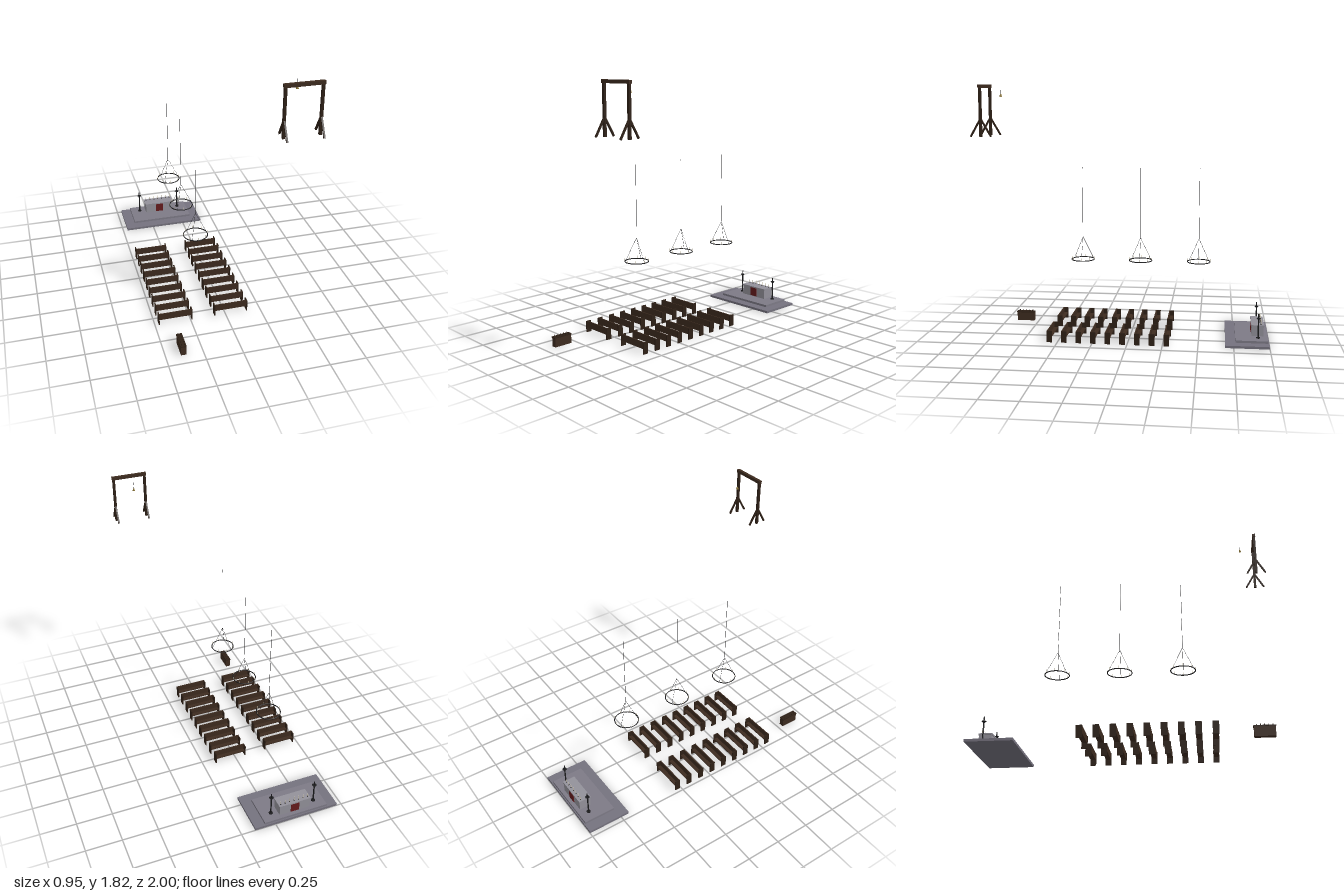
import * as THREE from 'three';

const mat = (color) => new THREE.MeshStandardMaterial({ color });
const WOOD = mat(0x3d2b1f), DARK = mat(0x2e2016), STONE = mat(0x75727e), STEP = mat(0x7d7a86);
const ALTAR = mat(0x93919a), RED = mat(0x651a1c), IRON = mat(0x1c1c1e), WAX = mat(0xd8cdb0), BRASS = mat(0x8a7434);

const AISLE = -0.158;

function add(parent, name, geometry, material, x = 0, y = 0, z = 0) {
  const m = new THREE.Mesh(geometry, material);
  m.name = name;
  m.position.set(x, y, z);
  parent.add(m);
  return m;
}

// box standing on height y
function box(parent, name, material, w, h, d, x, y, z) {
  return add(parent, name, new THREE.BoxGeometry(w, h, d), material, x, y + h / 2, z);
}

// upright cylinder standing on height y
function post(parent, name, material, r, h, x, y, z, sides = 8, rTop = r) {
  return add(parent, name, new THREE.CylinderGeometry(rTop, r, h, sides), material, x, y + h / 2, z);
}

// bar between two points, round or square
function bar(parent, name, material, a, b, r, square = false) {
  const dir = b.clone().sub(a), len = dir.length();
  const geo = square ? new THREE.BoxGeometry(r * 2, len, r * 2) : new THREE.CylinderGeometry(r, r, len, 6);
  const m = add(parent, name, geo, material);
  m.position.copy(a).add(b).multiplyScalar(0.5);
  m.quaternion.setFromUnitVectors(new THREE.Vector3(0, 1, 0), dir.normalize());
  return m;
}

function group(parent, name, x = 0, y = 0, z = 0) {
  const g = new THREE.Group();
  g.name = name;
  g.position.set(x, y, z);
  parent.add(g);
  return g;
}

function buildSanctuary(root) {
  const g = group(root, 'sanctuary', AISLE);
  box(g, 'lowerStep', STONE, 0.616, 0.017, 0.31, 0, 0, -0.845);
  box(g, 'upperStep', STEP, 0.466, 0.016, 0.23, 0, 0.017, -0.877);
  box(g, 'altarBody', ALTAR, 0.226, 0.07, 0.085, 0, 0.033, -0.922);
  box(g, 'altarTop', ALTAR, 0.234, 0.011, 0.092, 0, 0.103, -0.922);
  // red cloth showing on front and back
  box(g, 'altarCloth', RED, 0.062, 0.066, 0.094, 0, 0.038, -0.922);
  // row of altar candles, tallest in the middle
  for (let i = -3; i <= 3; i++) {
    const h = 0.032 - Math.abs(i) * 0.003;
    post(g, 'altarCandleBase', IRON, 0.004, 0.004, i * 0.0335, 0.114, -0.947);
    post(g, 'altarCandle', WAX, 0.002, h, i * 0.0335, 0.116, -0.947);
  }
  // standing candle holders at both ends
  for (const s of [-1, 1]) {
    const c = group(g, 'candleStand', s * 0.161, 0.033, -0.924);
    post(c, 'standFoot', IRON, 0.014, 0.006, 0, 0, 0, 12);
    post(c, 'standPole', IRON, 0.005, 0.14, 0, 0, 0);
    post(c, 'standDish', IRON, 0.008, 0.008, 0, 0.138, 0, 12, 0.016);
    post(c, 'standCandle', IRON, 0.004, 0.033, 0, 0.144, 0);
  }
}

function buildPew(root, x, z) {
  const g = group(root, 'pew', x, 0, z);
  for (const s of [-1, 1]) box(g, 'pewEnd', DARK, 0.007, 0.083, 0.04, s * 0.1155, 0, 0);
  box(g, 'pewSeat', WOOD, 0.228, 0.007, 0.034, 0, 0.037, 0);
  box(g, 'pewBack', WOOD, 0.228, 0.045, 0.007, 0, 0.04, 0.0135);
}

function buildChandelier(root, z) {
  const R = 0.083;
  const g = group(root, 'chandelier', AISLE, 0.545, z);
  const ring = add(g, 'ring', new THREE.TorusGeometry(R, 0.0035, 6, 40), IRON);
  ring.rotation.x = Math.PI / 2;
  const apex = new THREE.Vector3(0, 0.168, 0);
  for (let i = 0; i < 3; i++) {
    const a = i * Math.PI * 2 / 3;
    bar(g, 'ringChain', IRON, new THREE.Vector3(Math.cos(a) * R, 0, Math.sin(a) * R), apex, 0.001);
  }
  bar(g, 'ceilingChain', IRON, apex, new THREE.Vector3(0, 0.68, 0), 0.0012);
  for (let i = 0; i < 8; i++) {
    const a = i * Math.PI / 4;
    post(g, 'ringCandle', WAX, 0.0018, 0.018, Math.cos(a) * R, 0.002, Math.sin(a) * R, 6);
  }
}

function buildVotiveChest(root) {
  const g = group(root, 'votiveChest', -0.382, 0, 0.853);
  box(g, 'chestBody', WOOD, 0.036, 0.064, 0.132, 0, 0, 0);
  box(g, 'chestTop', DARK, 0.04, 0.007, 0.138, 0, 0.063, 0);
  for (const x of [-0.01, 0.01])
    for (let i = -2; i <= 2; i++) post(g, 'votiveCandle', DARK, 0.0025, 0.01, x, 0.07, i * 0.025, 6);
}

function buildBellFrame(root) {
  const g = group(root, 'bellFrame', 0.345, 1.475, 0.923);
  box(g, 'beam', WOOD, 0.254, 0.022, 0.022, 0, 0.318, 0);
  for (const s of [-1, 1]) {
    const x = s * 0.115;
    box(g, 'framePost', DARK, 0.017, 0.325, 0.017, x, 0, 0);
    for (const k of [-1, 1])
      bar(g, 'frameBrace', DARK, new THREE.Vector3(x, 0.003, k * 0.068), new THREE.Vector3(x, 0.12, 0), 0.0055, true);
  }
  // small bell on its cord
  const b = group(root, 'bell', 0.344, 1.735, 0.816);
  const profile = [[0.009, 0], [0.0075, 0.004], [0.006, 0.012], [0.004, 0.017], [0, 0.018]]
    .map(([r, y]) => new THREE.Vector2(r, y));
  const brass = BRASS.clone();
  brass.side = THREE.DoubleSide;
  add(b, 'bellBody', new THREE.LatheGeometry(profile, 16), brass);
  post(b, 'bellCord', IRON, 0.0014, 0.045, 0, 0.016, 0, 6);
}

export function createModel() {
  const root = new THREE.Group();
  root.name = 'chapelFurnishings';
  buildSanctuary(root);
  for (let i = 0; i < 9; i++)
    for (const s of [-1, 1]) buildPew(root, AISLE + s * 0.197, -0.279 + i * 0.1045);
  for (let i = 0; i < 3; i++) buildChandelier(root, -0.492 + i * 0.426);
  buildVotiveChest(root);
  buildBellFrame(root);
  return root;
}
